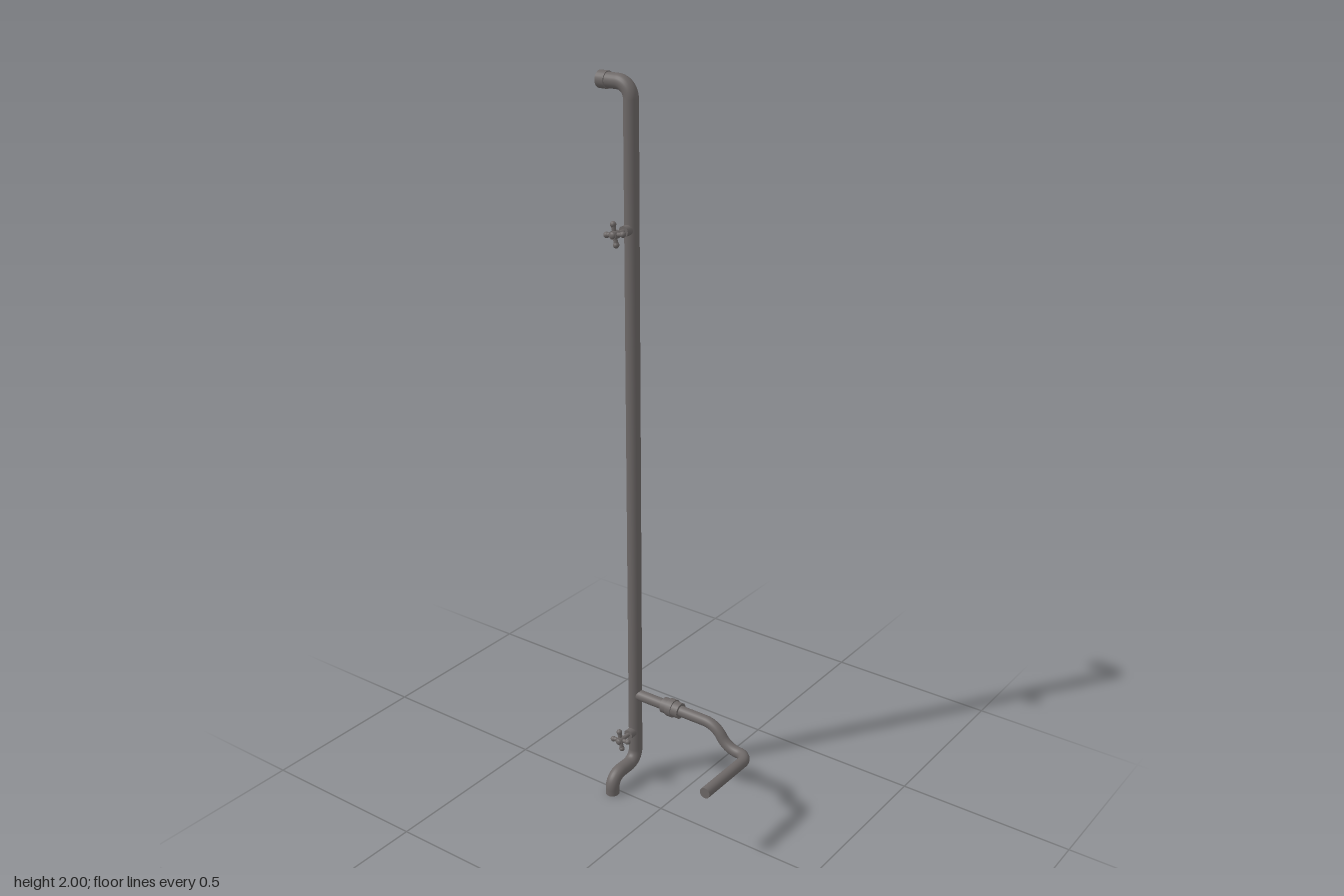
import * as THREE from 'three';
import { mergeGeometries } from 'three/addons/utils/BufferGeometryUtils.js';

const SIDES = 24;
const V = (x, y, z) => new THREE.Vector3(x, y, z);

// Pipe through corner points; each inner corner is a circular bend that starts t before it
function pipe(name, points, radius, t, material) {
  const parts = [];
  let from = points[0];
  const straight = (a, b) => parts.push(new THREE.TubeGeometry(new THREE.LineCurve3(a, b), 1, radius, SIDES));
  for (let i = 1; i < points.length - 1; i++) {
    const p = points[i];
    const d1 = p.clone().sub(points[i - 1]).normalize();
    const d2 = points[i + 1].clone().sub(p).normalize();
    const turn = d1.angleTo(d2);
    const h = (4 / 3) * Math.tan(turn / 4) * t / Math.tan(turn / 2);
    const a = p.clone().addScaledVector(d1, -t);
    const b = p.clone().addScaledVector(d2, t);
    straight(from, a);
    parts.push(new THREE.TubeGeometry(new THREE.CubicBezierCurve3(
      a, a.clone().addScaledVector(d1, h), b.clone().addScaledVector(d2, -h), b), 12, radius, SIDES));
    from = b;
  }
  const end = points[points.length - 1];
  straight(from, end);
  // flat end discs
  [[points[0], points[1]], [end, points[points.length - 2]]].forEach(([e, inner]) => {
    const cap = new THREE.CircleGeometry(radius, SIDES);
    cap.applyQuaternion(new THREE.Quaternion().setFromUnitVectors(V(0, 0, 1), e.clone().sub(inner).normalize()));
    parts.push(cap.translate(e.x, e.y, e.z));
  });
  const mesh = new THREE.Mesh(mergeGeometries(parts), material);
  mesh.name = name;
  return mesh;
}

// Cylinder lying along the x, y or z axis
function rod(name, radius, length, axis, position, material) {
  const mesh = new THREE.Mesh(new THREE.CylinderGeometry(radius, radius, length, SIDES), material);
  if (axis === 'x') mesh.rotation.z = Math.PI / 2;
  if (axis === 'z') mesh.rotation.x = Math.PI / 2;
  mesh.position.set(...position);
  mesh.name = name;
  return mesh;
}

// Stop valve with a four-armed handle, pointing to -x from the pipe's centre
function valve(name, material) {
  const g = new THREE.Group();
  g.name = name;
  g.add(rod('valveCollar', 0.014, 0.034, 'x', [-0.018, 0, 0], material));
  g.add(rod('valveStem', 0.006, 0.04, 'x', [-0.05, 0, 0], material));
  const handle = new THREE.Group();
  handle.name = 'crossHandle';
  handle.position.x = -0.07;
  handle.rotation.x = -0.17;
  handle.add(rod('handleHub', 0.011, 0.02, 'x', [0, 0, 0], material));
  const button = new THREE.Mesh(new THREE.SphereGeometry(0.009, 16, 10), material);
  button.name = 'handleButton';
  button.scale.x = 0.6;
  button.position.x = -0.01;
  handle.add(button);
  for (let i = 0; i < 4; i++) {
    const arm = new THREE.Group();
    arm.name = 'handleArm';
    arm.rotation.x = i * Math.PI / 2;
    const spoke = new THREE.Mesh(new THREE.CylinderGeometry(0.0065, 0.0048, 0.026, 16), material);
    spoke.name = 'spoke';
    spoke.position.y = 0.013;
    const knob = new THREE.Mesh(new THREE.SphereGeometry(0.008, 16, 10), material);
    knob.name = 'knob';
    knob.position.y = 0.026;
    arm.add(spoke, knob);
    handle.add(arm);
  }
  g.add(handle);
  return g;
}

export function createModel() {
  const model = new THREE.Group();
  model.name = 'standpipe';
  const iron = new THREE.MeshStandardMaterial({ color: 0x6c6766 });
  iron.name = 'dark grey iron';
  const X = 0.09, Z = -0.156;

  // tall riser with its top elbow and bottom offset
  model.add(pipe('riser', [
    V(X, 1.978, -0.235), V(X, 1.978, Z), V(X, 0.056, Z), V(-0.02, 0.056, Z), V(-0.02, 0, Z),
  ], 0.0195, 0.038, iron));

  // socket on the outlet, with a shallow bore
  const profile = [[0.0185, 0], [0.022, 0], [0.022, 0], [0.022, 0.025], [0.022, 0.025],
    [0.0185, 0.025], [0.0185, 0.025], [0.0185, 0]].map(([r, y]) => new THREE.Vector2(r, y));
  const socket = new THREE.Mesh(new THREE.LatheGeometry(profile, SIDES), iron);
  socket.name = 'outletSocket';
  socket.rotation.x = -Math.PI / 2;
  socket.position.set(X, 1.978, -0.225);
  model.add(socket);

  // branch pipe: forward, down in an S, then sideways
  model.add(pipe('branch', [
    V(X, 0.275, Z), V(X, 0.275, 0.118), V(X, 0.214, 0.163), V(X, 0.214, 0.23), V(-0.12, 0.214, 0.23),
  ], 0.0155, 0.034, iron));

  // union coupling on the branch
  model.add(rod('unionBody', 0.0225, 0.058, 'z', [X, 0.275, -0.026], iron));
  model.add(rod('unionNut', 0.026, 0.018, 'z', [X, 0.275, -0.027], iron));

  // two matching valves
  [['upperValve', 1.62], ['lowerValve', 0.155]].forEach(([name, y]) => {
    const v = valve(name, iron);
    v.position.set(X, y, Z);
    model.add(v);
  });
  return model;
}
